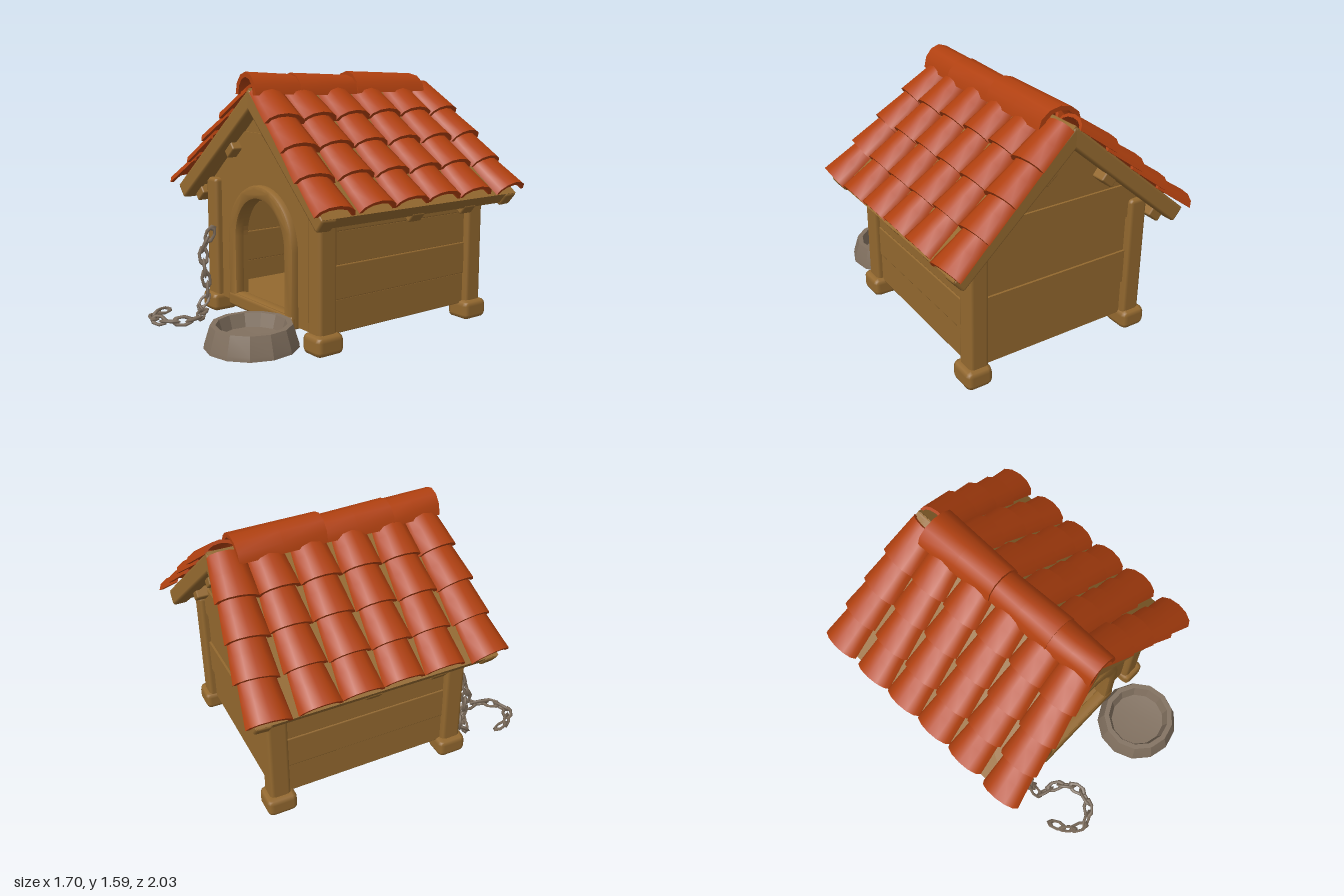
import * as THREE from 'three';
import { toCreasedNormals } from 'three/addons/utils/BufferGeometryUtils.js';
import { RoundedBoxGeometry } from 'three/addons/geometries/RoundedBoxGeometry.js';

const material = (name, color, extra = {}) => {
  const m = new THREE.MeshStandardMaterial({ color, ...extra });
  m.name = name;
  return m;
};
const wood = material('wood', 0x94692f);
const clay = material('clay', 0xb0400f);
const metal = material('metal', 0x81705f);

const APEX = 1.44, SLOPE = 0.698, MID_Z = -0.195;

function add(parent, name, geometry, mat, x = 0, y = 0, z = 0) {
  const mesh = new THREE.Mesh(geometry, mat);
  mesh.name = name;
  mesh.position.set(x, y, z);
  parent.add(mesh);
  return mesh;
}

const block = (w, h, d, r = 0.02) => new RoundedBoxGeometry(w, h, d, 1, r);

// Moves every vertex by a rule
function warp(geometry, rule) {
  const p = geometry.attributes.position, v = new THREE.Vector3();
  for (let i = 0; i < p.count; i++) {
    rule(v.fromBufferAttribute(p, i));
    p.setXYZ(i, v.x, v.y, v.z);
  }
  return toCreasedNormals(geometry, 0.7);
}

// Half-barrel tile running along +z, from width w0 to width w1
function barrel(w0, w1, height, length, thick = 0.025) {
  const n = 6, shape = new THREE.Shape();
  const arc = (rx, ry, i) => [Math.cos(Math.PI * i / n) * rx, Math.sin(Math.PI * i / n) * ry];
  for (let i = 0; i <= n; i++) {
    const p = arc(0.5, height, i);
    i ? shape.lineTo(...p) : shape.moveTo(...p);
  }
  for (let i = n; i >= 0; i--) shape.lineTo(...arc(0.5 - thick / w1, height - thick, i));
  const g = new THREE.ExtrudeGeometry(shape, { depth: length, steps: 2, bevelEnabled: false });
  return warp(g, v => {
    const t = v.z / length;
    v.x *= w0 + (w1 - w0) * t;
    v.y *= 0.85 + 0.15 * t;
  });
}

// Outline of the doorway, with straight sides and a round head
function arch(PathType, half, bottom, spring, top) {
  const p = new PathType();
  p.moveTo(-half, bottom);
  p.lineTo(half, bottom);
  p.lineTo(half, spring);
  p.absellipse(0, spring, half, top - spring, 0, Math.PI, false);
  p.lineTo(-half, bottom);
  return p;
}

// Plank of a gable wall, cut to the roof line
function gablePlank(y0, y1, depth) {
  const half = y => Math.max(0.02, Math.min(0.58, (1.4 - y) / Math.tan(SLOPE)));
  const knee = 1.4 - 0.58 * Math.tan(SLOPE);
  const ys = [y0, ...(knee > y0 && knee < y1 ? [knee] : []), y1];
  const pts = [...ys.map(y => new THREE.Vector2(half(y), y)),
    ...ys.reverse().map(y => new THREE.Vector2(-half(y), y))];
  return new THREE.ExtrudeGeometry(new THREE.Shape(pts), { depth, bevelEnabled: false });
}

function buildWalls(house) {
  // Front wall with the doorway, and gable planks above it
  const front = new THREE.Shape();
  front.moveTo(-0.58, 0.1);
  front.lineTo(0.58, 0.1);
  front.lineTo(0.58, 0.9);
  front.lineTo(-0.58, 0.9);
  front.holes.push(arch(THREE.Path, 0.265, 0.17, 0.55, 0.82));
  add(house, 'frontWall', new THREE.ExtrudeGeometry(front,
    { depth: 0.05, bevelEnabled: false, curveSegments: 14 }), wood, 0, 0, 0.37);
  [[0.9, 1.05], [1.05, 1.22], [1.22, 1.38]].forEach(([a, b], i) =>
    add(house, 'frontGablePlank', gablePlank(a, b, 0.05 + (i % 2) * 0.012), wood, 0, 0, 0.37));

  // Back wall planks, growing outward from z = -0.75
  [0.1, 0.33, 0.55, 0.78, 1.0, 1.2, 1.38].forEach((y, i, all) => {
    if (i === all.length - 1) return;
    const depth = 0.05 + (i % 2) * 0.014;
    add(house, 'backPlank', gablePlank(y, all[i + 1], depth), wood, 0, 0, -0.75 - depth);
  });

  // Side walls
  for (const s of [-1, 1])
    for (let i = 0; i < 4; i++)
      add(house, 'sidePlank', block(0.05 + (i % 2) * 0.012, 0.205, 1.2, 0.008), wood,
        s * 0.56, 0.205 + i * 0.2, MID_Z);

  add(house, 'floor', new THREE.BoxGeometry(1.12, 0.07, 1.2), wood, 0, 0.135, MID_Z);

  // Corner posts and feet
  for (const s of [-1, 1])
    for (const z of [0.4, -0.78]) {
      add(house, 'cornerPost', block(0.125, 0.85, 0.13, 0.025), wood, s * 0.56, 0.47, z);
      add(house, 'foot', block(0.17, 0.125, 0.19, 0.035), wood, s * 0.57, 0.0625, z);
    }

  // Door surround and sill
  const frame = arch(THREE.Shape, 0.335, 0.12, 0.55, 0.885);
  frame.holes.push(arch(THREE.Path, 0.285, 0.16, 0.55, 0.84));
  add(house, 'doorFrame', toCreasedNormals(new THREE.ExtrudeGeometry(frame, {
    depth: 0.04, bevelThickness: 0.02, bevelSize: 0.02, bevelSegments: 2, curveSegments: 14,
  }), 0.7), wood, 0, 0, 0.405);
  add(house, 'doorSill', block(0.71, 0.09, 0.08), wood, 0, 0.13, 0.43);
}

// One roof slope: local x runs down the slope, y is its normal
function buildSlope(house, turn, purlins) {
  const pivot = new THREE.Group();
  pivot.name = turn ? 'rightRoof' : 'leftRoof';
  pivot.position.set(0, APEX, MID_Z);
  pivot.rotation.y = turn;
  const slope = new THREE.Group();
  slope.name = 'roofSlope';
  slope.rotation.z = -SLOPE;
  pivot.add(slope);
  house.add(pivot);

  const splay = v => { v.z *= 0.95 + 0.07 * (v.x + 0.5); };
  add(slope, 'roofBoard', warp(new THREE.BoxGeometry(1.035, 0.08, 1.5), splay), wood, 0.4825);
  for (const e of [-1, 1]) {
    const rafter = add(slope, 'rafter', block(1.04, 0.1, 0.1, 0.015), wood, 0.49, -0.01, e * 0.695);
    rafter.rotation.y = -e * 0.05;
  }
  for (const s of purlins)
    add(slope, 'purlin', block(0.1, 0.07, 1.38, 0.01), wood, s, -0.075);
  for (const z of [0.03, -0.4])
    add(slope, 'eaveBlock', block(0.09, 0.07, 0.1, 0.01), wood, 0.96, -0.06, z);

  // Six columns of four overlapping tiles, the outer columns splaying outward
  const tile = barrel(0.215, 0.268, 0.078, 0.285).rotateY(Math.PI / 2);
  for (let c = 0; c < 6; c++)
    for (let k = 0; k < 4; k++) {
      const off = (c - 2.5) * 0.265, outer = c % 5 === 0;
      const spread = outer ? 0.93 + 0.03 * k : 1;
      const wobble = Math.sin(c * 5.1 + k * 2.3);
      const m = add(slope, 'roofTile', tile, clay,
        k * 0.235 + 0.005 + wobble * 0.006, 0.035, off * spread);
      m.rotation.z = 0.07 + wobble * 0.012;
      m.rotation.y = (outer ? -Math.sign(off) * 0.08 : 0) + wobble * 0.015;
    }
}

// Ridge caps, each slightly overlapping the next
function buildRidge(house) {
  [[0.54, 0.36, 0.25, 0.22, 1.455], [0.22, 0.48, 0.23, 0.26, 1.445], [-0.22, 0.55, 0.29, 0.25, 1.45]]
    .forEach(([z, len, w0, w1, y]) =>
      add(house, 'ridgeCap', barrel(w0, w1, 0.135, len, 0.03), clay, 0, y, z - len));
}

function buildBowl(model) {
  const profile = [[0, 0.045], [0.275, 0.045], [0.272, 0.07], [0.238, 0.18], [0.205, 0.18],
    [0.18, 0.1], [0, 0.085]].map(p => new THREE.Vector2(...p));
  add(model, 'bowl', toCreasedNormals(new THREE.LatheGeometry(profile, 13), 0.3), metal, 0.325, 0, 0.725);
}

function buildChain(model) {
  const chain = new THREE.Group();
  chain.name = 'chain';
  const path = new THREE.CatmullRomCurve3([
    [-0.54, 0.52, 0.49], [-0.575, 0.42, 0.52], [-0.55, 0.28, 0.53], [-0.54, 0.12, 0.52],
    [-0.52, 0.05, 0.58], [-0.4, 0.05, 0.63], [-0.32, 0.045, 0.75], [-0.36, 0.045, 0.88],
    [-0.47, 0.045, 0.94], [-0.57, 0.045, 0.88], [-0.6, 0.045, 0.81],
  ].map(p => new THREE.Vector3(...p)));
  const link = new THREE.TorusGeometry(0.028, 0.011, 4, 7).scale(1.9, 1, 1);
  const count = 17, xAxis = new THREE.Vector3(1, 0, 0);
  for (let i = 0; i < count; i++) {
    const t = i / (count - 1);
    const m = add(chain, 'chainLink', link, metal, ...path.getPointAt(t).toArray());
    m.quaternion.setFromUnitVectors(xAxis, path.getTangentAt(t));
    m.rotateX(i % 2 ? 0.5 : 1.9);
  }
  model.add(chain);
}

export function createModel() {
  const model = new THREE.Group();
  model.name = 'kennel';
  const house = new THREE.Group();
  house.name = 'house';
  model.add(house);
  buildWalls(house);
  buildSlope(house, 0, [0.25, 0.65]);
  buildSlope(house, Math.PI, [0.43, 0.93]);
  buildRidge(house);
  buildBowl(model);
  buildChain(model);
  return model;
}
